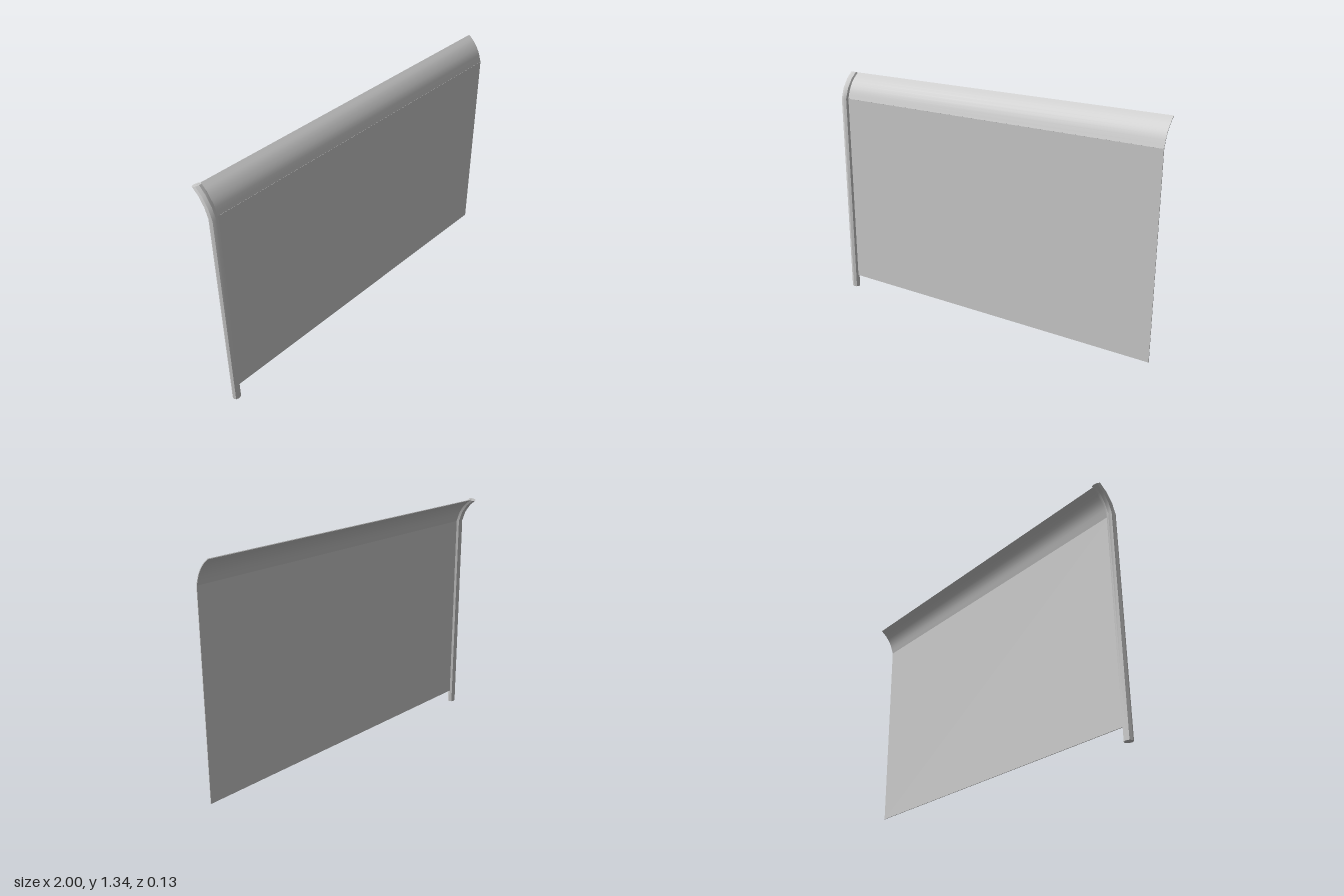
import * as THREE from 'three';
import { toCreasedNormals } from 'three/addons/utils/BufferGeometryUtils.js';

// Centre line of the curved top, as [z, y]
const BEND = [[0.047, 1.194], [0.026, 1.252], [-0.008, 1.3], [-0.046, 1.332]];
const POST_X = -0.976;

// Eight-sided post: rings up the centre line, tilting back through the bend
function postGeometry() {
  const sides = 8, rx = 0.024, rz = 0.0205;
  const rings = [[0.047, 0], ...BEND];
  const tilts = [0, 0, 0.12, 0.24, 0.35];
  const pos = [], idx = [];
  rings.forEach(([z, y], i) => {
    for (let k = 0; k < sides; k++) {
      const a = (k / sides) * Math.PI * 2;
      const d = Math.sin(a) * rz;
      pos.push(POST_X + Math.cos(a) * rx, y + d * Math.sin(tilts[i]), z + d * Math.cos(tilts[i]));
    }
  });
  for (let i = 0; i < rings.length - 1; i++) {
    for (let k = 0; k < sides; k++) {
      const a = i * sides + k, b = i * sides + (k + 1) % sides;
      idx.push(a, a + sides, b, b, a + sides, b + sides);
    }
  }
  // End caps
  const top = (rings.length - 1) * sides;
  for (let k = 1; k < sides - 1; k++) {
    idx.push(0, k, k + 1, top, top + k + 1, top + k);
  }
  const g = new THREE.BufferGeometry();
  g.setAttribute('position', new THREE.Float32BufferAttribute(pos, 3));
  g.setIndex(idx);
  return toCreasedNormals(g, 0.5);
}

// Thin sheet following the bend, extruded along the panel's length
function curvedSheetGeometry(x0, x1, thickness) {
  const curve = new THREE.CatmullRomCurve3(BEND.map(([z, y]) => new THREE.Vector3(z, y, 0)));
  const h = thickness / 2, front = [], back = [];
  for (let i = 0; i <= 9; i++) {
    const p = curve.getPoint(i / 9), t = curve.getTangent(i / 9);
    front.push(new THREE.Vector2(p.x + t.y * h, p.y - t.x * h));
    back.unshift(new THREE.Vector2(p.x - t.y * h, p.y + t.x * h));
  }
  const g = new THREE.ExtrudeGeometry(new THREE.Shape([...front, ...back]), {
    depth: x1 - x0, bevelEnabled: false, steps: 1,
  });
  g.rotateY(-Math.PI / 2);
  g.translate(x1, 0, 0);
  return toCreasedNormals(g, 0.5);
}

export function createModel() {
  const model = new THREE.Group();
  model.name = 'fencePanel';
  const grey = new THREE.MeshStandardMaterial({ color: 0xcccccc });
  const add = (name, geometry) => {
    const mesh = new THREE.Mesh(geometry, grey);
    mesh.name = name;
    model.add(mesh);
  };

  add('post', postGeometry());

  // Flat lower sheet, set into the post
  const bottom = 0.075, top = BEND[0][1];
  const flat = new THREE.BoxGeometry(1 - POST_X, top - bottom, 0.004);
  flat.translate((1 + POST_X) / 2, (top + bottom) / 2, 0.047);
  add('flatPanel', flat);

  add('curvedTopPanel', curvedSheetGeometry(POST_X, 1, 0.004));
  return model;
}
